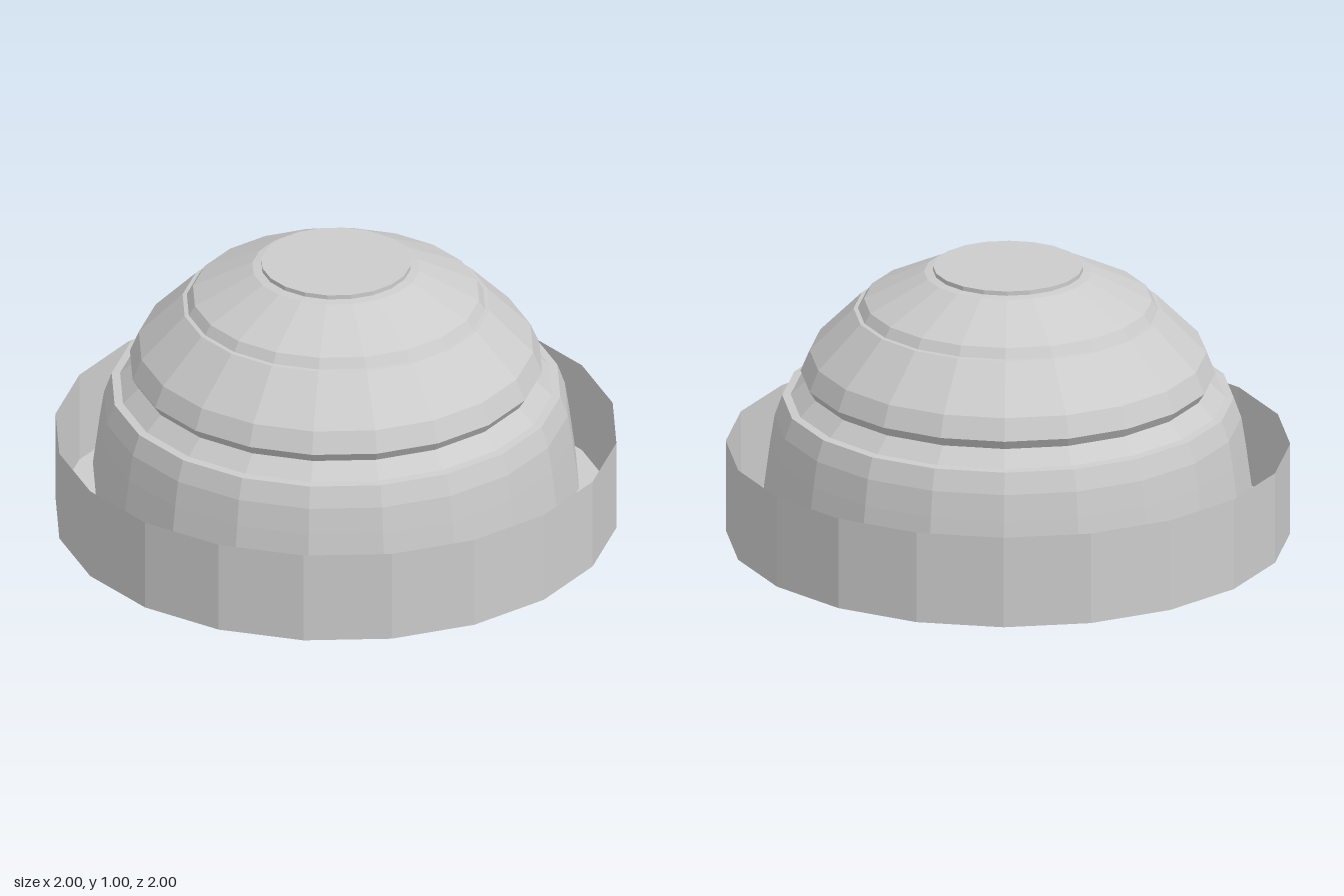
import * as THREE from 'three';

const SIDES = 20;

export function createModel() {
  const group = new THREE.Group();
  group.name = 'steppedDome';
  const material = new THREE.MeshStandardMaterial({
    color: 0xcccccc, flatShading: true, side: THREE.DoubleSide,
  });

  // Revolve a [radius, height] profile, listed from bottom to top
  function addLathe(name, profile) {
    const points = profile.map(([r, y]) => new THREE.Vector2(r, y));
    const mesh = new THREE.Mesh(new THREE.LatheGeometry(points, SIDES), material);
    mesh.name = name;
    group.add(mesh);
  }

  // Open tray: flat floor ring and thin upright wall
  addLathe('baseTray', [[0.8, 0], [1, 0], [1, 0.337]]);

  // Hollow lower shell, flaring out from the floor and closing to a ledge
  addLathe('lowerShell', [
    [0.8, 0], [0.8, 0.07], [0.867, 0.15], [0.842, 0.34],
    [0.827, 0.435], [0.8, 0.51], [0.77, 0.513],
  ]);

  // Groove between the lower shell and the dome
  addLathe('groove', [[0.77, 0.513], [0.713, 0.568], [0.735, 0.603]]);

  // Upper dome with a small step near the crown
  addLathe('upperDome', [
    [0.735, 0.603], [0.703, 0.68], [0.547, 0.838], [0.532, 0.84],
    [0.51, 0.875], [0.298, 0.98], [0.266, 0.984],
  ]);

  // Flat raised disc on the crown
  addLathe('crownCap', [[0.266, 0.984], [0.266, 1], [0, 1]]);

  return group;
}
